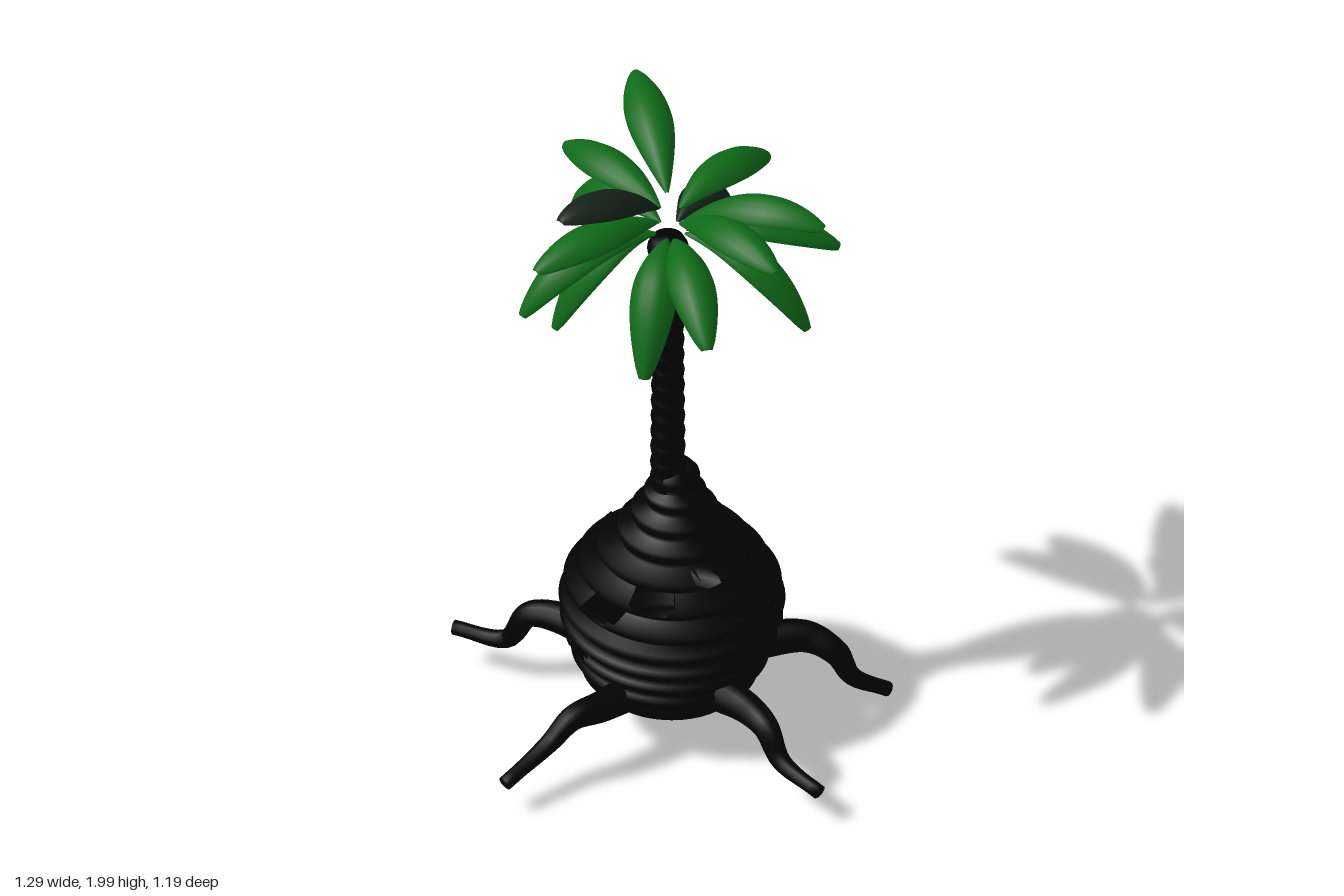
import * as THREE from 'three';

const V = (x, y, z) => new THREE.Vector3(x, y, z);
const bark = new THREE.MeshStandardMaterial({ color: 0x020202, side: THREE.DoubleSide });
const green = new THREE.MeshStandardMaterial({ color: 0x0f6a18 });
const dark = new THREE.MeshStandardMaterial({ color: 0x14221a });
const UP = V(0, 1, 0);
const CX = -0.015, CZ = -0.07; // trunk axis

// Sweeps a cross-section along a curve and closes its end; section(t, angle) gives [sideways, upward] offsets.
function loft(curve, rings, sides, section) {
  const pos = [], index = [];
  for (let i = 0; i <= rings; i++) {
    const t = Math.min(1, i / (rings - 1)), p = curve.getPoint(t), tan = curve.getTangent(t);
    const side = UP.clone().cross(tan).normalize(), nor = tan.clone().cross(side);
    for (let j = 0; j < sides; j++) {
      const [a, b] = i === rings ? [0, 0] : section(t, (j / sides) * Math.PI * 2);
      const q = p.clone().addScaledVector(side, a).addScaledVector(nor, b);
      pos.push(q.x, q.y, q.z);
      if (i < rings) {
        const k = (j + 1) % sides, r = i * sides, s = r + sides;
        index.push(r + j, r + k, s + j, r + k, s + k, s + j);
      }
    }
  }
  const g = new THREE.BufferGeometry();
  g.setAttribute('position', new THREE.Float32BufferAttribute(pos, 3));
  g.setIndex(index);
  g.computeVertexNormals();
  return g;
}

function add(group, name, geometry, material) {
  const m = new THREE.Mesh(geometry, material);
  m.name = name;
  group.add(m);
  return m;
}

// One upward-flaring ring of a ridged profile
function ridge(points, y, h, inner, outer) {
  points.push(new THREE.Vector2(inner, y), new THREE.Vector2(inner + (outer - inner) * 0.55, y + h * 0.3),
    new THREE.Vector2(outer, y + h * 0.65), new THREE.Vector2(outer - (outer - inner) * 0.3, y + h * 0.85));
}

// Hollow ridged bulb with worn holes
function bulbGeometry() {
  const pts = [new THREE.Vector2(0, 0.135), new THREE.Vector2(0.19, 0.135)];
  const radii = [0.255, 0.285, 0.305, 0.32, 0.325, 0.313, 0.277, 0.228, 0.165, 0.127, 0.092, 0.07];
  const h = 0.062;
  radii.forEach((r, i) => ridge(pts, 0.145 + i * h, h, r - (i > 7 ? 0.012 : 0.036), r));
  pts.push(new THREE.Vector2(0.05, 0.9));
  const g = new THREE.LatheGeometry(pts, 72);
  // holes: angle from +x toward +z in degrees, height, half width, half height
  const holes = [[95, 0.515, 0.065, 0.035], [62, 0.575, 0.06, 0.025], [20, 0.61, 0.05, 0.03], [247, 0.57, 0.1, 0.07],
    [192, 0.63, 0.08, 0.045], [-27, 0.38, 0.06, 0.03], [205, 0.38, 0.075, 0.035], [112, 0.32, 0.05, 0.04]];
  const p = g.attributes.position, src = g.index.array, keep = [];
  for (let i = 0; i < src.length; i += 3) {
    const c = V(0, 0, 0);
    for (let k = 0; k < 3; k++) c.add(V(p.getX(src[i + k]), p.getY(src[i + k]), p.getZ(src[i + k])));
    c.divideScalar(3);
    const r = Math.hypot(c.x, c.z), az = Math.atan2(c.z, c.x);
    const open = r > 0.12 && holes.some(([deg, y, w, hh]) => {
      const d = az - THREE.MathUtils.degToRad(deg);
      const da = Math.atan2(Math.sin(d), Math.cos(d)) * r;
      return (da / w) ** 2 + ((c.y - y) / hh) ** 2 < 1;
    });
    if (!open) keep.push(src[i], src[i + 1], src[i + 2]);
  }
  g.setIndex(keep);
  return g;
}

// Ringed trunk with a closed top
function trunkGeometry() {
  const pts = [];
  const n = 16, h = 0.054;
  for (let i = 0; i < n; i++) {
    const r = 0.052 - 0.004 * Math.min(1, i / 8) + (i > 11 ? (i - 11) * 0.003 : 0);
    ridge(pts, 0.83 + i * h, h, r - 0.006, r);
  }
  pts.push(new THREE.Vector2(0.045, 1.71), new THREE.Vector2(0, 1.715));
  return new THREE.LatheGeometry(pts, 24);
}

// Thick arching leaf with drooping sides and a blunt tip, from the crown to its tip
function leafGeometry(x, y, z) {
  const a = Math.atan2(z - CZ, x - CX);
  const startY = y > 1.94 ? 1.83 : y > 1.66 ? 1.78 : 1.73;
  const start = V(CX + Math.cos(a) * 0.045, startY, CZ + Math.sin(a) * 0.045);
  const lift = y < 1.5 ? 0.05 : 0.09;
  const mid = start.clone().lerp(V(x, y, z), y < 1.6 ? 0.65 : 0.5);
  mid.y = Math.max(startY, y) + (y > 1.94 ? 0.04 : lift);
  const curve = new THREE.QuadraticBezierCurve3(start, mid, V(x, y, z));
  return loft(curve, 22, 16, (t, ang) => {
    const w = 0.056 * Math.pow(Math.max(0, Math.sin(Math.PI * Math.pow(t, 1.1))), 0.8) + 0.005 + 0.012 * t;
    const c = Math.cos(ang), s = Math.sin(ang);
    return [c * w, s * w * (s > 0 ? 0.4 : 0.2) - c * c * w * 0.45];
  });
}

export function createModel() {
  const model = new THREE.Group();
  model.name = 'palmTree';

  const bulb = add(model, 'hollowBulb', bulbGeometry(), bark);
  bulb.position.set(CX - 0.02, 0, CZ - 0.012);
  bulb.rotation.z = -0.035;
  const trunk = add(model, 'trunk', trunkGeometry(), bark);
  trunk.position.set(CX, 0, CZ + 0.01);

  // Roots
  const roots = new THREE.Group();
  roots.name = 'roots';
  model.add(roots);
  [
    [[0.2, 0.22, -0.04], [0.32, 0.23, -0.03], [0.42, 0.22, -0.01], [0.49, 0.14, 0], [0.64, 0.105, 0]],
    [[0.1, 0.22, -0.28], [0.2, 0.22, -0.41], [0.28, 0.18, -0.45], [0.31, 0.1, -0.48], [0.36, 0.024, -0.58]],
    [[-0.12, 0.22, -0.28], [-0.24, 0.21, -0.38], [-0.28, 0.16, -0.43], [-0.3, 0.08, -0.47], [-0.41, 0.026, -0.57]],
    [[-0.22, 0.22, 0], [-0.34, 0.25, 0.04], [-0.43, 0.24, 0.08], [-0.49, 0.14, 0.11], [-0.638, 0.14, 0.175]],
    [[0.02, 0.22, 0.12], [0.01, 0.22, 0.24], [-0.01, 0.22, 0.34], [-0.03, 0.16, 0.42], [-0.04, 0.105, 0.59]],
  ].forEach((path) => {
    const curve = new THREE.CatmullRomCurve3(path.map((p) => V(...p)));
    add(roots, 'root', loft(curve, 26, 12, (t, a) => {
      const r = 0.056 - 0.034 * Math.min(1, t * 1.1);
      return [Math.cos(a) * r, Math.sin(a) * r];
    }), bark);
  });

  // Crown of leaves, listed by tip position
  const crown = new THREE.Group();
  crown.name = 'crown';
  model.add(crown);
  [
    [-0.08, 1.72, -0.54], [-0.41, 1.95, -0.34], [-0.485, 1.77, -0.13], [-0.455, 1.56, -0.13], [-0.2, 1.56, 0.355],
    [-0.19, 1.455, 0.23], [-0.09, 1.8, 0.41], [0.175, 1.46, 0.24], [0.37, 1.63, 0.18], [0.47, 1.86, 0],
    [0.44, 1.88, -0.23], [0.37, 1.485, -0.24], [0.31, 1.65, -0.43],
  ].forEach((tip) => add(crown, 'leaf', leafGeometry(...tip), green));
  [[-0.05, 1.965, 0.35], [-0.12, 1.54, -0.42]]
    .forEach((tip) => add(crown, 'darkLeaf', leafGeometry(...tip), dark));

  return model;
}
